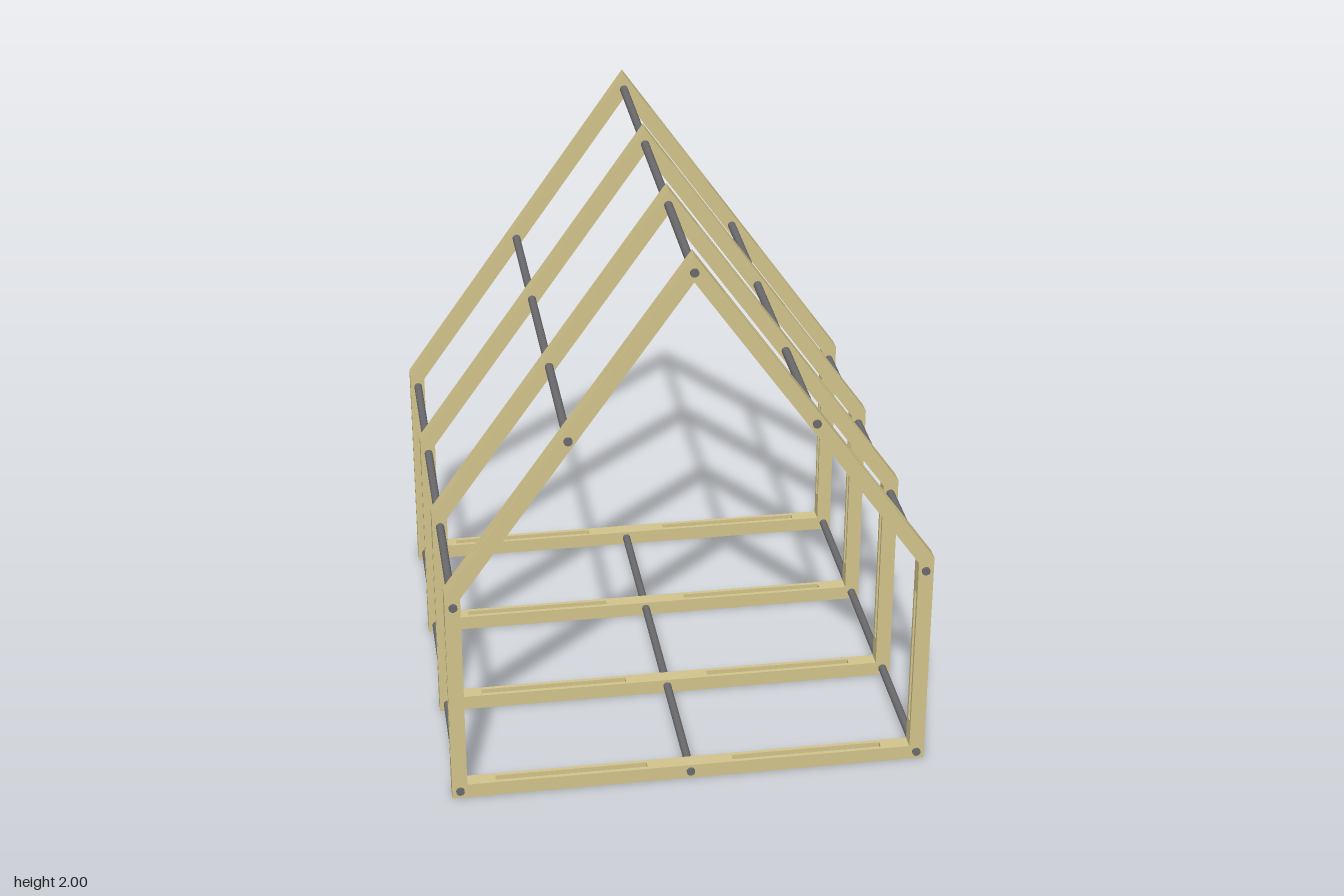
import * as THREE from 'three';

const HALF = 0.833, EAVE = 0.82, TOP = 2, T = 0.053; // outline and beam thickness
const DEPTH = 0.053, SLOT = 0.025;                   // beam depth and slot width along z
const SLOPE = (TOP - EAVE) / HALF;
const LEN = Math.hypot(1, SLOPE);
const IN_TOP = TOP - T * LEN, IN = HALF - T, IN_EAVE = IN_TOP - SLOPE * IN;

const polygon = (pts) => new THREE.Shape(pts.map(([x, y]) => new THREE.Vector2(x, y)));
const mirror = (pts) => pts.map(([x, y]) => [-x, y]).reverse();

// points on the outer and inner roof edge, squared across the rafter at outer x
const outer = (x) => [x, TOP - SLOPE * x];
const inner = (x) => [x - T * SLOPE / LEN, TOP - SLOPE * x - T / LEN];

function plateShape() {
  const shape = polygon([[-HALF, 0], [HALF, 0], [HALF, EAVE], [0, TOP], [-HALF, EAVE]]);
  shape.holes.push(polygon([[-IN, T], [-IN, IN_EAVE], [0, IN_TOP], [IN, IN_EAVE], [IN, T]]));
  return shape;
}

// solid blocks between the slots
function blockShapes() {
  const side = [
    [[0.68, 0], [HALF, 0], [HALF, 0.15], [IN, 0.15], [IN, T], [0.68, T]],
    [[HALF, 0.675], [HALF, EAVE], outer(0.733), inner(0.733), [IN, IN_EAVE], [IN, 0.675]],
    [outer(0.519), outer(0.318), inner(0.318), inner(0.519)],
  ];
  const middle = [
    [[-0.15, 0], [0.15, 0], [0.15, T], [-0.15, T]],
    [outer(0.103), [0, TOP], ...mirror([outer(0.103)]), ...mirror([inner(0.103)]), [0, IN_TOP], inner(0.103)],
  ];
  return [...side, ...side.map(mirror), ...middle].map(polygon);
}

function extrude(shapes, z, depth) {
  const g = new THREE.ExtrudeGeometry(shapes, { depth, bevelEnabled: false });
  g.translate(0, 0, z);
  return g;
}

export function createModel() {
  const model = new THREE.Group();
  model.name = 'houseFrame';
  const wood = new THREE.MeshStandardMaterial({ color: 0xd2c48c });
  wood.name = 'paleWood';
  const steel = new THREE.MeshStandardMaterial({ color: 0x6b6b6e });
  steel.name = 'greySteel';

  // slotted house-shaped frames: two face plates with blocks between
  const cheek = (DEPTH - SLOT) / 2;
  const plate = plateShape();
  const layers = [
    ['frontPlate', extrude(plate, SLOT / 2, cheek)],
    ['backPlate', extrude(plate, -DEPTH / 2, cheek)],
    ['spacerBlocks', extrude(blockShapes(), -SLOT / 2, SLOT)],
  ];
  for (const z of [-0.81, -0.27, 0.27, 0.81]) {
    const frame = new THREE.Group();
    frame.name = 'frame';
    for (const [name, geometry] of layers) {
      const mesh = new THREE.Mesh(geometry, wood);
      mesh.name = name;
      frame.add(mesh);
    }
    frame.position.z = z;
    model.add(frame);
  }

  // rods running through all frames
  const rod = new THREE.CylinderGeometry(0.0145, 0.0145, 1.69, 20).rotateX(Math.PI / 2);
  const rods = [
    ['ridgeRod', 0, 1.943], ['floorRod', 0, 0.029],
    ...[-1, 1].flatMap((s) => [
      ['rafterRod', s * 0.411, 1.37], ['eaveRod', s * 0.805, 0.772], ['cornerRod', s * 0.805, 0.029],
    ]),
  ];
  for (const [name, x, y] of rods) {
    const mesh = new THREE.Mesh(rod, steel);
    mesh.name = name;
    mesh.position.set(x, y, 0);
    model.add(mesh);
  }
  return model;
}
